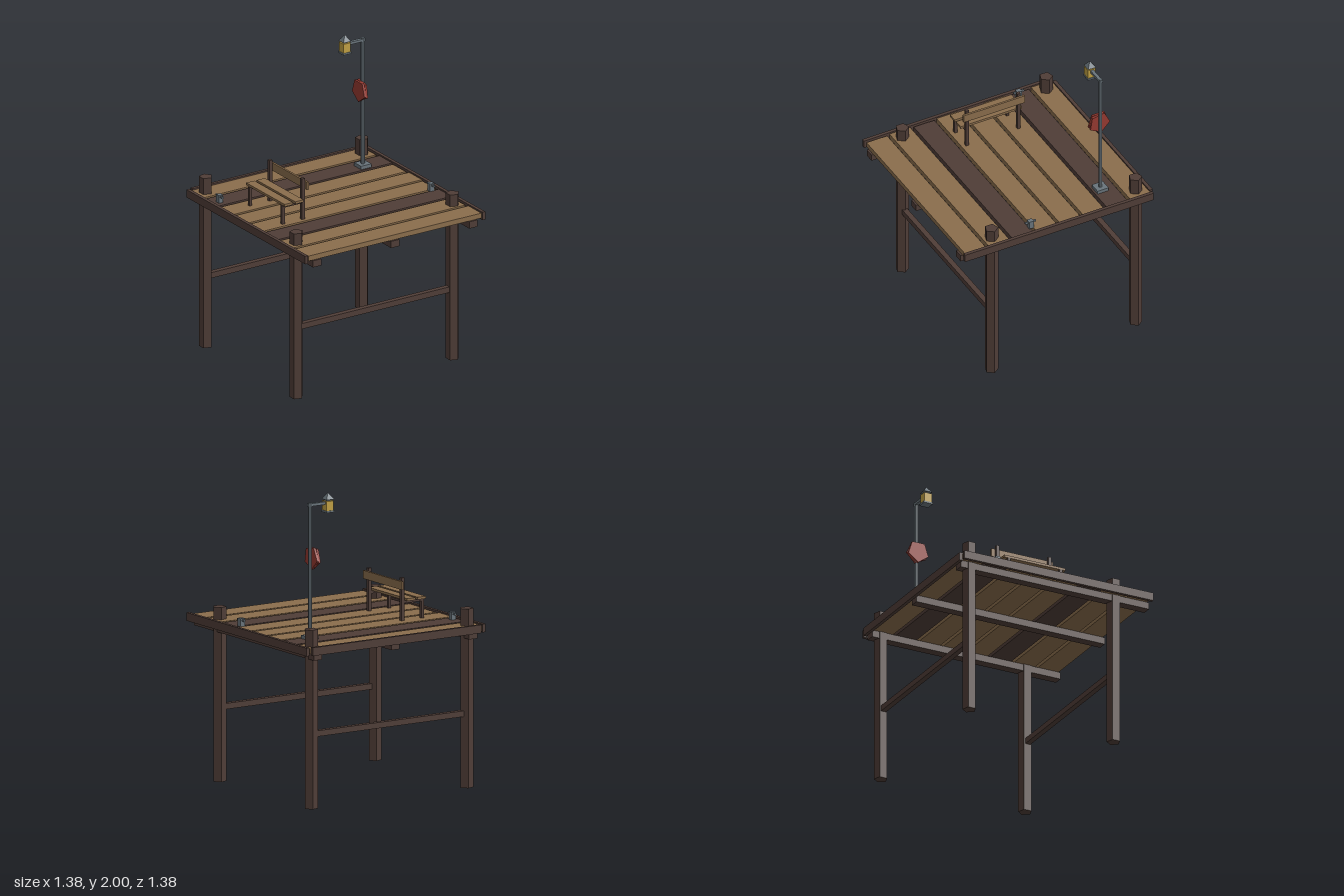
import * as THREE from 'three';

function mat(name, color) {
  const m = new THREE.MeshStandardMaterial({ color, flatShading: true });
  m.name = name;
  return m;
}

export function createModel() {
  const lightWood = mat('lightWood', 0x8a6d4c);
  const darkWood = mat('darkWood', 0x4f3d37);
  const metal = mat('metal', 0x69747b);
  const red = mat('red', 0x963a31);
  const glow = mat('lampYellow', 0xc0a044);

  const root = new THREE.Group();
  root.name = 'dock';
  const group = (name) => {
    const g = new THREE.Group();
    g.name = name;
    root.add(g);
    return g;
  };
  const add = (parent, name, geo, material) => {
    const m = new THREE.Mesh(geo, material);
    m.name = name;
    parent.add(m);
    return m;
  };
  // box given by its extents on each axis
  const box = (parent, name, material, [x0, x1], [y0, y1], [z0, z1]) => {
    const m = add(parent, name, new THREE.BoxGeometry(x1 - x0, y1 - y0, z1 - z0), material);
    m.position.set((x0 + x1) / 2, (y0 + y1) / 2, (z0 + z1) / 2);
    return m;
  };
  const around = (c, w) => [c - w / 2, c + w / 2];

  // five-sided posts and the cross braces between them
  const frame = group('frame');
  for (const [z, top] of [[0.45, 1.14], [-0.597, 1.17]]) {
    for (const x of [-0.6, 0.6]) {
      const geo = new THREE.CylinderGeometry(0.045, 0.045, top, 5).rotateY(Math.PI / 2);
      add(frame, 'post', geo, darkWood).position.set(x, top / 2, z);
    }
    box(frame, 'crossBrace', darkWood, [-0.58, 0.58], [0.466, 0.504], around(z, 0.036));
  }
  // beams under the deck
  for (const x of [-0.6, 0, 0.6]) {
    box(frame, 'beam', darkWood, around(x, 0.063), [0.98, 1.026], [-0.676, 0.69]);
  }
  // rim boards on the sides and back
  for (const x of [-0.681, 0.681]) {
    box(frame, 'sideRim', darkWood, around(x, 0.023), [1.016, 1.07], [-0.681, 0.69]);
  }
  box(frame, 'backRim', darkWood, [-0.652, 0.652], [1.016, 1.07], [-0.695, -0.672]);

  // deck planks, shifted alternately
  const deck = group('deck');
  for (let i = 0; i < 8; i++) {
    const shift = i % 2 ? 0.005 : -0.005;
    box(deck, 'plank', i === 1 || i === 5 ? darkWood : lightWood,
      around(shift, 1.33), [1.026, 1.06], around(-0.6 + i * 0.1717, 0.15));
  }

  // bench
  const bench = group('bench');
  const benchZ = [-0.288, 0.158];
  box(bench, 'seatSlat', lightWood, [-0.496, -0.433], [1.19, 1.206], benchZ);
  box(bench, 'seatSlat', lightWood, [-0.415, -0.352], [1.19, 1.206], benchZ);
  box(bench, 'backSlat', lightWood, [-0.325, -0.311], [1.267, 1.321], benchZ);
  for (const z of [-0.253, 0.123]) {
    box(bench, 'frontLeg', darkWood, [-0.499, -0.479], [1.058, 1.18], around(z, 0.02));
    box(bench, 'backLeg', darkWood, [-0.348, -0.325], [1.058, 1.34], around(z, 0.022));
    box(bench, 'seatBearer', darkWood, [-0.499, -0.34], [1.172, 1.19], around(z, 0.018));
  }

  // lamp post with a hanging arm
  const lamp = group('lampPost');
  const lz = -0.407;
  const lx = 0.341;
  box(lamp, 'lampBase', metal, around(0.48, 0.08), [1.058, 1.083], around(lz, 0.08));
  add(lamp, 'pole', new THREE.CylinderGeometry(0.0135, 0.0135, 0.875, 6), metal)
    .position.set(0.479, 1.51, lz);
  box(lamp, 'arm', metal, [0.36, 0.494], [1.926, 1.944], around(lz, 0.022));
  // lantern
  box(lamp, 'lanternFloor', metal, around(lx, 0.064), [1.874, 1.886], around(lz, 0.064));
  box(lamp, 'lanternGlass', glow, around(lx, 0.054), [1.886, 1.948], around(lz, 0.054));
  box(lamp, 'lanternNeck', metal, around(lx, 0.03), [1.945, 1.96], around(lz, 0.03));
  const roof = new THREE.ConeGeometry(0.0415, 0.042, 4).rotateY(Math.PI / 4);
  add(lamp, 'lanternRoof', roof, metal).position.set(lx, 1.979, lz);

  // red buoy hung on the pole: two five-sided discs, slightly turned
  for (const [x, turn] of [[0.452, 0], [0.467, 0.16]]) {
    const disc = new THREE.CylinderGeometry(0.076, 0.076, 0.015, 5)
      .rotateZ(Math.PI / 2).rotateX(Math.PI / 2 + turn);
    add(lamp, 'buoy', disc, red).position.set(x, 1.589, lz);
  }

  // mooring cleats
  for (const [x, z] of [[-0.62, -0.408], [0.616, 0.175]]) {
    const cleat = group('cleat');
    box(cleat, 'cleatPost', metal, around(x, 0.033), [1.058, 1.112], around(z, 0.033));
    const bar = new THREE.CylinderGeometry(0.009, 0.009, 0.076, 5).rotateX(Math.PI / 2);
    add(cleat, 'cleatBar', bar, metal).position.set(x, 1.1, z);
  }
  return root;
}
